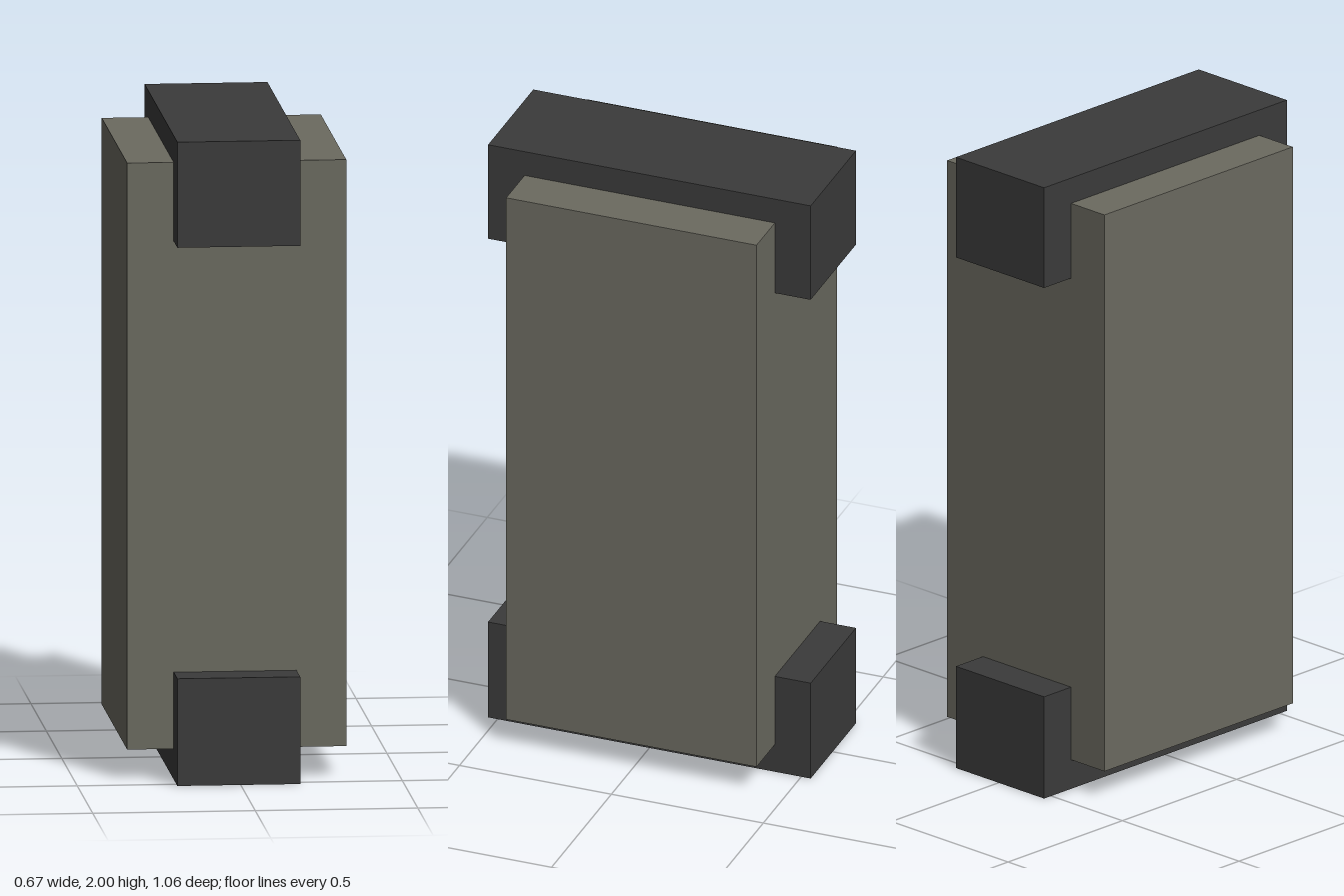
import * as THREE from 'three';

export function createModel() {
  const model = new THREE.Group();
  const bodyGrey = new THREE.MeshStandardMaterial({ color: 0x6b6a60 });
  bodyGrey.name = 'warm grey';
  const capGrey = new THREE.MeshStandardMaterial({ color: 0x3b3b3b });
  capGrey.name = 'charcoal';

  // Box given by its minimum and maximum corners
  function addBox(name, min, max, material) {
    const size = max.map((v, i) => v - min[i]);
    const mesh = new THREE.Mesh(new THREE.BoxGeometry(...size), material);
    mesh.position.set(...max.map((v, i) => (v + min[i]) / 2));
    mesh.name = name;
    model.add(mesh);
  }

  // Main slab
  addBox('body', [-0.338, 0.095, -0.413], [0.336, 1.917, 0.411], bodyGrey);

  // End caps, running front to back through the slab
  addBox('bottomCap', [-0.195, 0, -0.531], [0.183, 0.333, 0.531], capGrey);
  addBox('topCap', [-0.195, 1.672, -0.531], [0.183, 2, 0.531], capGrey);

  return model;
}
